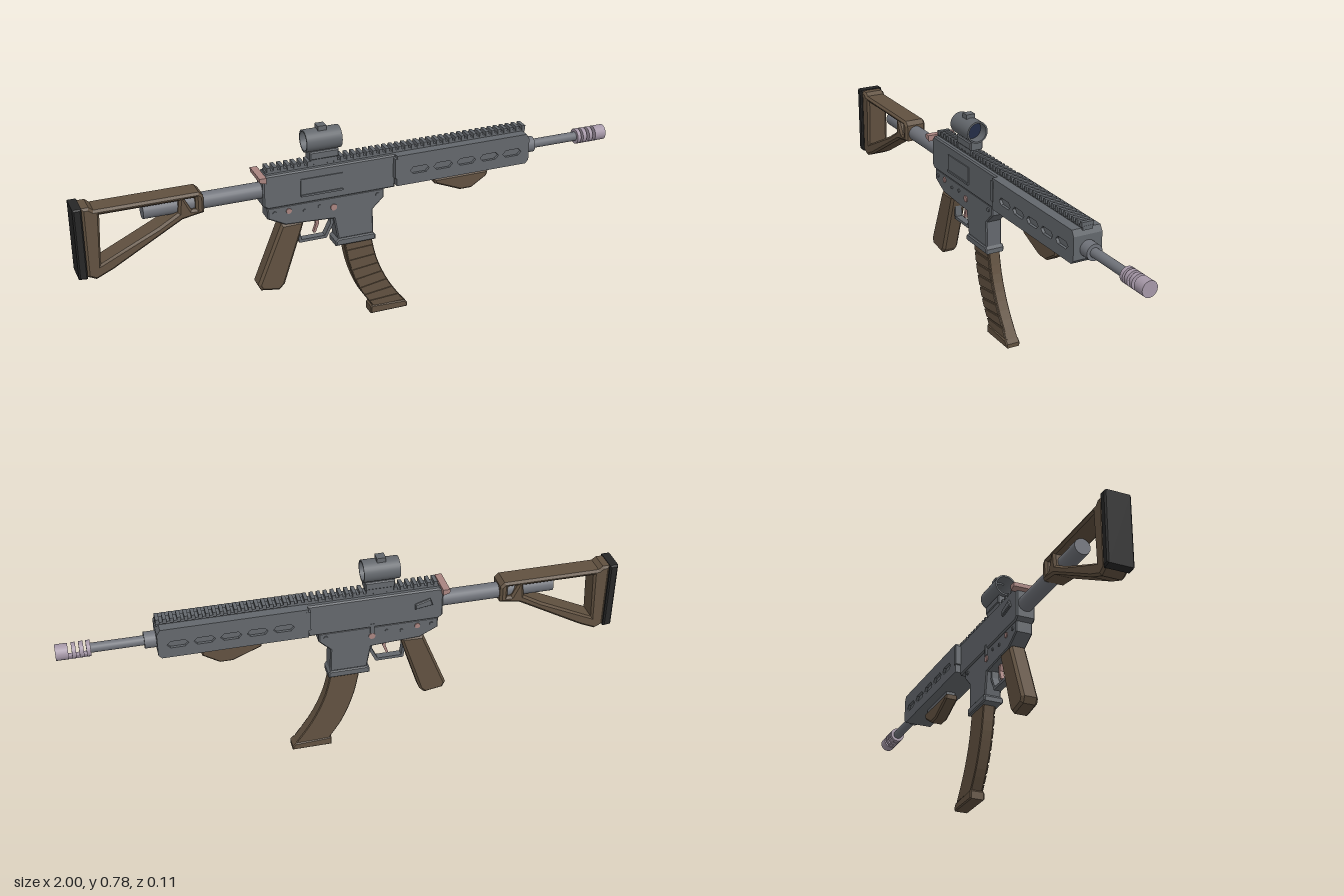
import * as THREE from 'three';

const mat = (name, color, extra = {}) => {
  const m = new THREE.MeshStandardMaterial({ color, ...extra });
  m.name = name;
  return m;
};

export function createModel() {
  const root = new THREE.Group();
  const metal = mat('grey metal', 0x63676c);
  const barrelGrey = mat('barrel grey', 0x70737a);
  const brown = mat('brown polymer', 0x615140);
  const black = mat('black rubber', 0x262626);
  const rose = mat('rose metal', 0xa98480);
  const lilac = mat('lilac steel', 0xa698a8);
  const glass = mat('navy glass', 0x232d46, { side: THREE.DoubleSide });

  const add = (name, geo, m, x = 0, y = 0, z = 0, parent = root) => {
    const mesh = new THREE.Mesh(geo, m);
    mesh.name = name;
    mesh.position.set(x, y, z);
    parent.add(mesh);
    return mesh;
  };
  // box from its x, y and z limits
  const box = (name, m, x0, x1, y0, y1, z0, z1, parent) =>
    add(name, new THREE.BoxGeometry(x1 - x0, y1 - y0, z1 - z0), m,
      (x0 + x1) / 2, (y0 + y1) / 2, (z0 + z1) / 2, parent);
  // side outline extruded from z0 to z1 with an optional bevel and holes
  const toVec = pts => pts.map(p => new THREE.Vector2(p[0], p[1]));
  const slab = (name, m, pts, z0, z1, bevel = 0, holes = [], parent = root) => {
    const shape = new THREE.Shape(toVec(pts));
    holes.forEach(h => shape.holes.push(new THREE.Path(toVec(h))));
    const geo = new THREE.ExtrudeGeometry(shape, {
      depth: z1 - z0 - 2 * bevel, bevelEnabled: bevel > 0, bevelSize: bevel,
      bevelThickness: bevel, bevelOffset: -bevel, bevelSegments: 1,
    });
    return add(name, geo, m, 0, 0, z0 + bevel, parent);
  };
  // cylinder along x
  const rod = (name, m, x0, x1, y, r, parent, sides = 24) =>
    add(name, new THREE.CylinderGeometry(r, r, x1 - x0, sides).rotateZ(-Math.PI / 2), m, (x0 + x1) / 2, y, 0, parent);
  const group = name => {
    const g = new THREE.Group();
    g.name = name;
    root.add(g);
    return g;
  };

  // shoulder stock
  const stock = group('stock');
  slab('stockFrame', brown, [[-0.97, 0.38], [-0.94, 0.365], [-0.88, 0.392], [-0.635, 0.53], [-0.56, 0.543],
    [-0.56, 0.605], [-0.575, 0.62], [-0.93, 0.62], [-0.945, 0.632], [-0.97, 0.632]], -0.042, 0.042, 0.008,
  [[[-0.912, 0.6], [-0.645, 0.6], [-0.65, 0.556], [-0.72, 0.515], [-0.922, 0.418]],
    [[-0.625, 0.602], [-0.588, 0.602], [-0.588, 0.56], [-0.603, 0.56]]], stock);
  slab('buttPad', black, [[-1, 0.378], [-0.97, 0.375], [-0.97, 0.635], [-1, 0.635]], -0.047, 0.047, 0.005, [], stock);
  rod('bufferTube', barrelGrey, -0.765, -0.34, 0.571, 0.029);

  // upper receiver
  const upper = group('upperReceiver');
  slab('upperBody', metal, [[-0.35, 0.52], [-0.335, 0.508], [0.14, 0.508], [0.14, 0.634], [-0.335, 0.634],
    [-0.35, 0.62]], -0.035, 0.035, 0.005, [], upper);
  box('ejectionCover', metal, -0.215, -0.06, 0.543, 0.602, 0.034, 0.039, upper);
  box('coverHinge', metal, -0.215, -0.06, 0.537, 0.544, 0.034, 0.043, upper);
  slab('shellDeflector', metal, [[-0.31, 0.575], [-0.245, 0.565], [-0.245, 0.585], [-0.30, 0.602]], -0.045, -0.034, 0.003, [], upper);
  slab('chargingHandle', rose, [[-0.367, 0.622], [-0.342, 0.615], [-0.342, 0.637], [-0.367, 0.637]], -0.053, 0.053, 0, [], root);

  // lower receiver with magazine well
  const lower = group('lowerReceiver');
  slab('lowerBody', metal, [[-0.335, 0.51], [-0.335, 0.468], [-0.27, 0.435], [-0.09, 0.425], [-0.075, 0.34],
    [0.06, 0.34], [0.058, 0.435], [0.1, 0.475], [0.1, 0.51]], -0.031, 0.031, 0.004, [], lower);
  slab('magazineWellFlare', metal, [[-0.085, 0.315], [0.067, 0.315], [0.067, 0.332], [0.06, 0.342], [-0.075, 0.342],
    [-0.085, 0.332]], -0.036, 0.036, 0.004, [], lower);
  for (const s of [-1, 1]) {
    const pin = (name, m, x, y, r) => {
      add(name, new THREE.CylinderGeometry(r, r, 0.006, 12).rotateX(Math.PI / 2), m, x, y, s * 0.032, lower);
    };
    pin('selector', rose, -0.258, 0.488, 0.01);
    pin('magazineRelease', rose, -0.092, 0.472, 0.012);
    pin('rearPin', metal, -0.31, 0.488, 0.007);
    pin('triggerPin', metal, -0.2, 0.478, 0.006);
    pin('hammerPin', metal, -0.145, 0.485, 0.006);
    pin('frontPin', metal, 0.075, 0.49, 0.008);
  }
  box('boltCatch', metal, -0.1, -0.085, 0.485, 0.525, -0.037, -0.03, lower);

  // trigger and guard
  slab('triggerGuard', metal, [[-0.227, 0.432], [-0.215, 0.345], [-0.112, 0.345], [-0.085, 0.4], [-0.085, 0.43],
    [-0.097, 0.43], [-0.097, 0.4], [-0.119, 0.356], [-0.207, 0.356], [-0.217, 0.432]], -0.013, 0.013);
  slab('trigger', rose, [[-0.158, 0.435], [-0.149, 0.405], [-0.16, 0.372], [-0.152, 0.37], [-0.138, 0.405],
    [-0.141, 0.435]], -0.007, 0.007);

  // pistol grip
  slab('pistolGrip', brown, [[-0.285, 0.437], [-0.2, 0.437], [-0.212, 0.395], [-0.277, 0.198], [-0.297, 0.178],
    [-0.365, 0.189], [-0.376, 0.212], [-0.3, 0.4]], -0.031, 0.031, 0.009);

  // curved magazine, ribbed on one side
  const magazine = group('magazine');
  const curve = pts => new THREE.CatmullRomCurve3(pts.map(p => new THREE.Vector3(p[0], p[1], 0)));
  const rear = curve([[-0.052, 0.33], [-0.028, 0.215], [0.014, 0.108], [0.065, 0.028]]);
  const front = curve([[0.055, 0.33], [0.08, 0.225], [0.125, 0.125], [0.19, 0.028]]);
  const band = (t0, t1, n, inset) => {
    const a = [], b = [];
    for (let i = 0; i <= n; i++) {
      const t = t0 + (t1 - t0) * i / n, p = rear.getPoint(t), q = front.getPoint(t);
      a.push([p.x + inset, p.y]);
      b.unshift([q.x - inset, q.y]);
    }
    return [...a, ...b];
  };
  slab('magazineBody', brown, band(0, 1, 10, 0), -0.024, 0.020, 0.003, [], magazine);
  for (let i = 0; i < 8; i++)
    slab('magazineRib', brown, band(i / 8 + 0.012, (i + 1) / 8 - 0.012, 2, 0.004), 0.019, 0.024, 0, [], magazine);
  slab('magazineBase', brown, [[0.055, 0], [0.202, 0], [0.202, 0.015], [0.19, 0.028], [0.06, 0.034], [0.055, 0.028]],
    -0.027, 0.027, 0.004, [], magazine);

  // handguard with five slots on each side
  const guard = group('handguard');
  const outline = [[0.14, 0.52], [0.65, 0.52], [0.662, 0.533], [0.662, 0.615], [0.65, 0.635], [0.14, 0.635]];
  const slots = [];
  for (let i = 0; i < 5; i++) {
    const x = 0.19 + i * 0.0915, w = 0.074, y = 0.571, h = 0.013;
    slots.push([[x, y], [x + 0.012, y - h], [x + w - 0.012, y - h], [x + w, y], [x + w - 0.012, y + h], [x + 0.012, y + h]]);
  }
  slab('handguardCore', metal, outline, -0.043, 0.043, 0, [], guard);
  for (const s of [-1, 1])
    slab('handguardSide', metal, outline, s < 0 ? -0.053 : 0.043, s < 0 ? -0.043 : 0.053, 0, slots, guard);
  box('handguardCollar', metal, 0.132, 0.148, 0.55, 0.625, -0.055, 0.055, guard);

  // toothed top rail
  const rail = group('topRail');
  box('railBase', metal, -0.335, 0.66, 0.63, 0.644, -0.018, 0.018, rail);
  for (let i = 0; i < 41; i++) {
    const x = -0.33 + i * 0.0244;
    box('railTooth', metal, x, x + 0.013, 0.64, 0.657, -0.022, 0.022, rail);
  }

  // hand stop under the handguard
  box('handStopMount', metal, 0.31, 0.5, 0.5, 0.522, -0.018, 0.018);
  slab('handStop', brown, [[0.3, 0.505], [0.302, 0.487], [0.405, 0.445], [0.45, 0.445], [0.51, 0.483], [0.515, 0.505]],
    -0.025, 0.025, 0.006);

  // barrel and slotted muzzle brake
  rod('gasBlock', barrelGrey, 0.655, 0.702, 0.568, 0.029);
  rod('barrel', barrelGrey, 0.7, 0.89, 0.568, 0.017);
  const brake = group('muzzleBrake');
  for (const [a, b] of [[0.882, 0.896], [0.905, 0.92], [0.931, 0.945], [0.957, 1]])
    rod('brakeRing', lilac, a, b, 0.568, 0.028, brake);
  box('brakeBridge', lilac, 0.885, 0.97, 0.542, 0.55, -0.012, 0.012, brake);

  // tube sight
  const sight = group('sight');
  box('sightFoot', metal, -0.17, -0.075, 0.645, 0.664, -0.022, 0.022, sight);
  slab('sightMount', metal, [[-0.175, 0.66], [-0.068, 0.66], [-0.068, 0.69], [-0.175, 0.69]], -0.025, 0.025, 0.004, [], sight);
  const ring = [[0.034, -0.065], [0.04, -0.065], [0.04, 0.065], [0.034, 0.065], [0.034, -0.065]];
  for (let i = 0; i < 4; i++)
    add('sightTube', new THREE.LatheGeometry(toVec([ring[i], ring[i + 1]]), 32).rotateZ(-Math.PI / 2), metal, -0.125, 0.727, 0, sight);
  add('lens', new THREE.CircleGeometry(0.0345, 32).rotateY(Math.PI / 2), glass, -0.1, 0.727, 0, sight);
  box('sightKnob', metal, -0.142, -0.11, 0.755, 0.78, -0.017, 0.017, sight);

  return root;
}
